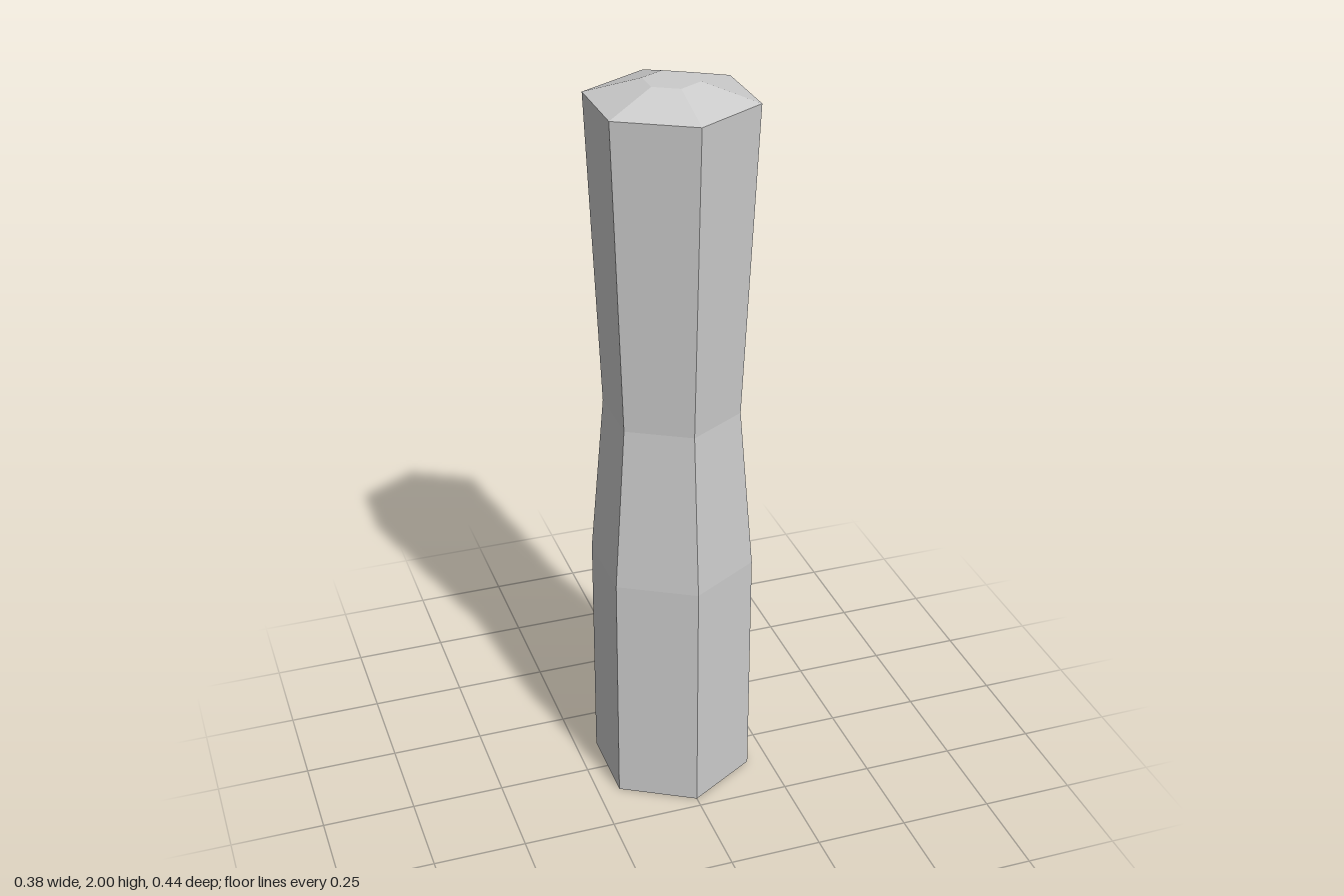
import * as THREE from 'three';

export function createModel() {
  const group = new THREE.Group();
  group.name = 'post';
  const material = new THREE.MeshStandardMaterial({ color: 0xcccccc, flatShading: true });

  // Six-sided turned shape: [radius, height] from the base centre to the top centre
  const profile = [
    [0, 0],
    [0.22, 0],       // base
    [0.22, 0.67],    // end of straight lower section
    [0.182, 1.12],   // waist
    [0.22, 1.955],   // flared rim
    [0.072, 2],      // bevelled cap
    [0, 2],
  ].map(([r, y]) => new THREE.Vector2(r, y));

  // Corners point along +z and -z
  const shaft = new THREE.Mesh(new THREE.LatheGeometry(profile, 6), material);
  shaft.name = 'shaft';
  group.add(shaft);
  return group;
}
